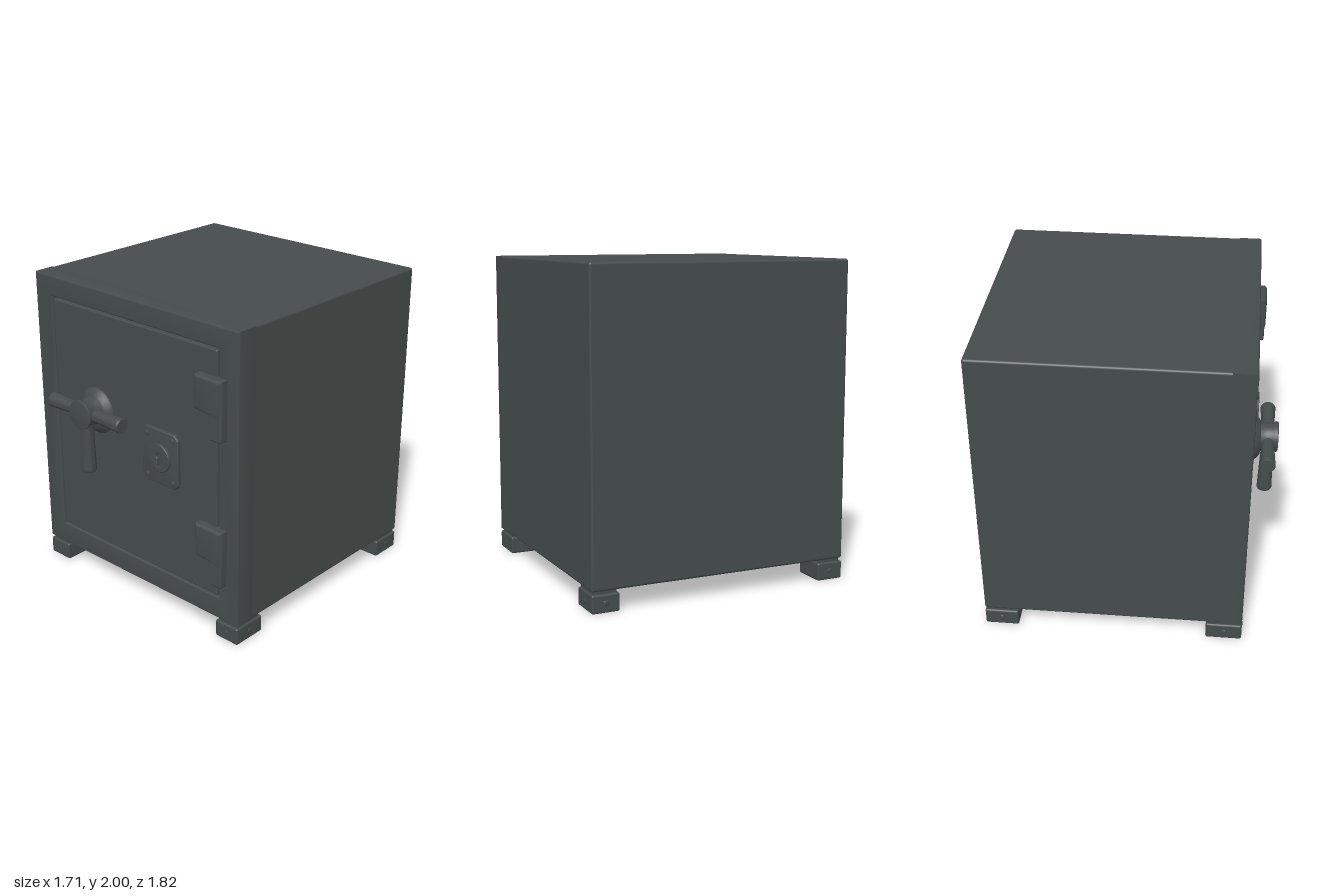
import * as THREE from 'three';
import { RoundedBoxGeometry } from 'three/addons/geometries/RoundedBoxGeometry.js';
import { toCreasedNormals } from 'three/addons/utils/BufferGeometryUtils.js';

const paint = new THREE.MeshStandardMaterial({ color: 0x454c4b });
paint.name = 'dark grey paint';

function add(parent, name, geometry, x = 0, y = 0, z = 0) {
  const mesh = new THREE.Mesh(geometry, paint);
  mesh.name = name;
  mesh.position.set(x, y, z);
  parent.add(mesh);
  return mesh;
}

// Rounded box given by its limits
function box(parent, name, [x0, x1], [y0, y1], [z0, z1], r) {
  const g = new RoundedBoxGeometry(x1 - x0, y1 - y0, z1 - z0, 3, r);
  return add(parent, name, g, (x0 + x1) / 2, (y0 + y1) / 2, (z0 + z1) / 2);
}

const poly = (pts) => new THREE.Shape(pts.map(([x, y]) => new THREE.Vector2(x, y)));
const rect = (x0, x1, y0, y1) => poly([[x0, y0], [x1, y0], [x1, y1], [x0, y1]]);

// Bevelled plate between two depths; the outline is its widest section
function plate(shape, z0, z1, bevel, segments = 3) {
  const g = new THREE.ExtrudeGeometry(shape, {
    depth: z1 - z0 - 2 * bevel, bevelEnabled: true, bevelSize: bevel,
    bevelThickness: bevel, bevelOffset: -bevel, bevelSegments: segments, curveSegments: 24,
  });
  return toCreasedNormals(g.translate(0, 0, z0 + bevel), 0.6);
}

// Turned part whose axis points to the front; profile is [radius, depth]
function turned(profile, segments = 40) {
  const pts = profile.map(([r, d]) => new THREE.Vector2(r, d));
  return toCreasedNormals(new THREE.LatheGeometry(pts, segments).rotateX(Math.PI / 2), 0.6);
}

const FRONT = 0.75;

export function createModel() {
  const safe = new THREE.Group();
  safe.name = 'safe';

  // Cabinet with a recess for the door
  box(safe, 'cabinet', [-0.855, 0.845], [0.13, 2], [-0.905, 0.715], 0.015);
  const frame = rect(-0.855, 0.845, 0.13, 2);
  frame.holes.push(rect(-0.705, 0.695, 0.275, 1.868));
  add(safe, 'doorFrame', plate(frame, 0.6, FRONT, 0.012));
  box(safe, 'door', [-0.694, 0.684], [0.286, 1.857], [0.65, FRONT], 0.01);

  // Three-armed handle
  const handle = new THREE.Group();
  handle.name = 'handle';
  handle.position.set(-0.32, 1.225, 0);
  safe.add(handle);
  add(handle, 'handleRose', turned([
    [0.15, 0.74], [0.15, 0.757], [0.135, 0.768], [0.115, 0.788], [0.1, 0.797], [0, 0.797],
  ]), 0, -0.013);
  add(handle, 'handleHub', turned([
    [0.095, 0.785], [0.088, 0.81], [0.083, 0.84], [0.086, 0.87],
    [0.095, 0.893], [0.093, 0.902], [0.085, 0.905], [0, 0.897],
  ]));
  for (let i = 0; i < 3; i++) {
    const arm = new THREE.Group();
    arm.name = 'handleArm';
    arm.position.z = 0.842;
    arm.rotation.z = (i + 1) * Math.PI / 2;
    const g = new THREE.LatheGeometry([
      [0.036, 0.04], [0.039, 0.1], [0.047, 0.3], [0.047, 0.312], [0.044, 0.317], [0, 0.317],
    ].map(([r, d]) => new THREE.Vector2(r, i === 1 ? d * 1.245 : d)), 32);
    add(arm, 'armBar', toCreasedNormals(g, 0.6));
    handle.add(arm);
  }

  // Lock plate with chamfered corners, screws and a keyhole
  const lock = new THREE.Group();
  lock.name = 'lock';
  lock.position.set(0.243, 1.073, 0);
  safe.add(lock);
  const w = 0.149, h = 0.178, c = 0.03;
  add(lock, 'lockPlate', plate(poly([
    [-w + c, -h], [w - c, -h], [w, -h + c], [w, h - c],
    [w - c, h], [-w + c, h], [-w, h - c], [-w, -h + c],
  ]), 0.74, 0.775, 0.007));
  const disc = new THREE.Shape().absarc(0, 0, 0.092, 0, Math.PI * 2);
  const keyhole = new THREE.Path();
  keyhole.absarc(0, 0.012, 0.018, -1.1, Math.PI + 1.1, false);
  keyhole.lineTo(-0.009, -0.055);
  keyhole.lineTo(0.009, -0.055);
  keyhole.closePath();
  disc.holes.push(keyhole);
  add(lock, 'lockCylinder', plate(disc, 0.765, 0.79, 0.004));
  const screw = turned([[0.018, 0], [0.017, 0.006], [0.01, 0.011], [0, 0.012]], 16);
  for (const x of [-0.105, 0.105]) {
    for (const y of [-0.137, 0.137]) add(lock, 'lockScrew', screw, x, y, 0.773);
  }

  // Hinges
  for (const y of [1.7, 0.755]) {
    const hinge = new THREE.Group();
    hinge.name = 'hinge';
    hinge.position.y = y;
    safe.add(hinge);
    add(hinge, 'hingeLeaf', plate(poly([
      [0.55, -0.212], [0.76, -0.235], [0.76, 0], [0.55, 0],
    ]), 0.70, 0.805, 0.022, 4));
    box(hinge, 'hingeKnuckle', [0.665, 0.757], [-0.376, -0.2], [0.70, 0.803], 0.015);
  }

  // Feet with short necks and bolts on the outer faces
  for (const sx of [-1, 1]) {
    for (const sz of [-1, 1]) {
      const foot = new THREE.Group();
      foot.name = 'foot';
      foot.position.set(sx * 0.762 - 0.005, 0, sz > 0 ? 0.635 : -0.797);
      safe.add(foot);
      const d = sz > 0 ? 0.115 : 0.108;
      box(foot, 'footBlock', [-0.088, 0.088], [0, 0.112], [-d, d], 0.012);
      box(foot, 'footNeck', [-0.075, 0.075], [0.09, 0.14], [-d + 0.015, d - 0.015], 0.008);
      const front = add(foot, 'footBolt', screw, 0, 0.058, sz * (d - 0.006));
      if (sz < 0) front.rotation.y = Math.PI;
      add(foot, 'footBolt', screw, sx * 0.083, 0.058, 0).rotation.y = sx * Math.PI / 2;
    }
  }
  return safe;
}
